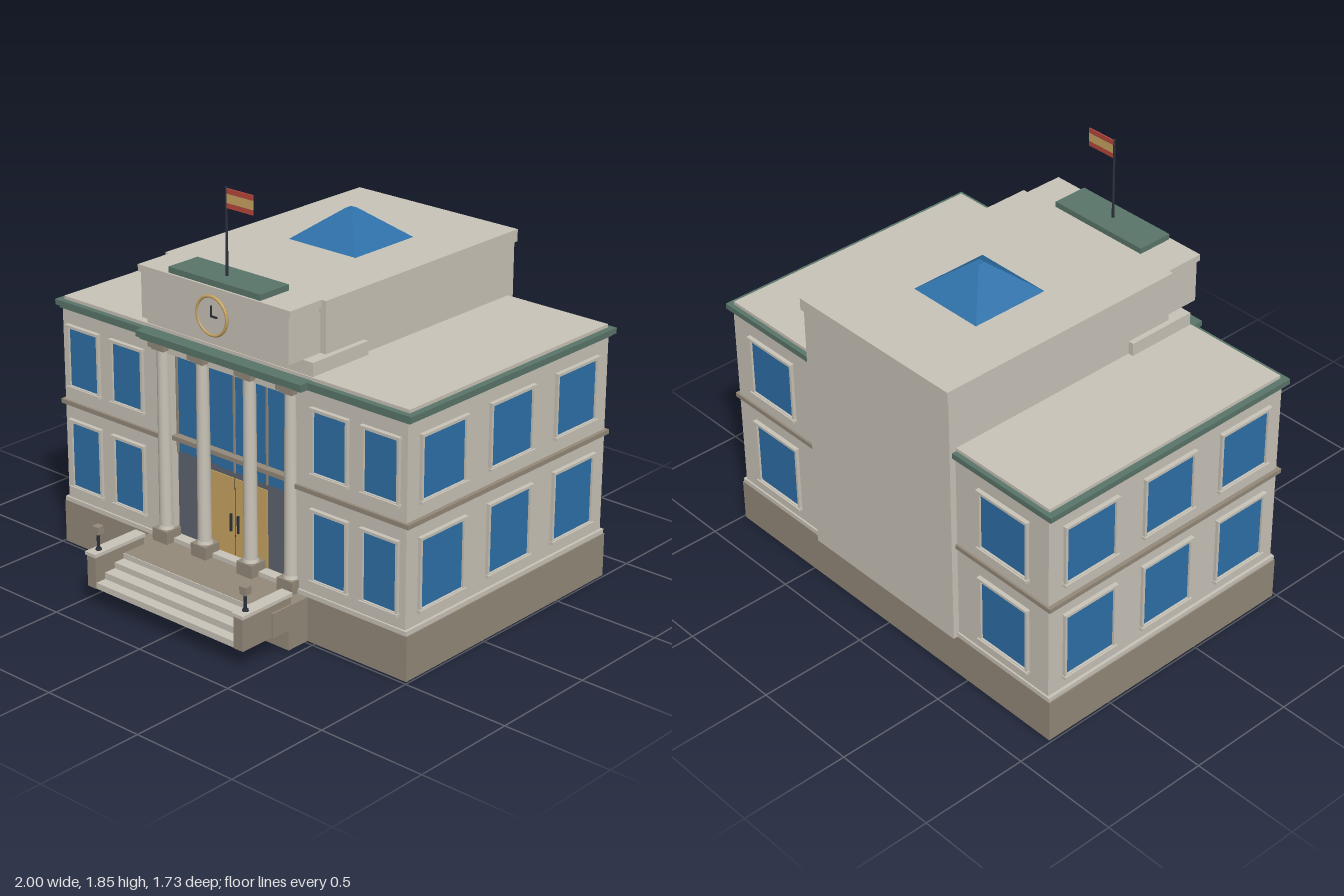
import * as THREE from 'three';

const mat = (name, color) => Object.assign(new THREE.MeshStandardMaterial({ color }), { name });
const stone = mat('pale stone', 0xc9c4b8);
const brown = mat('brown stone', 0x94897a);
const green = mat('green copper', 0x5a7569);
const glass = mat('blue glass', 0x2e70a8);
const gold = mat('golden wood', 0xcaa562);
const slate = mat('slate panel', 0x5f6470);
const dark = mat('dark metal', 0x2b303a);
const red = mat('flag red', 0xb8483c);

export function createModel() {
  const model = new THREE.Group();
  model.name = 'civicBuilding';

  const add = (parent, name, geo, material, x = 0, y = 0, z = 0) => {
    const m = new THREE.Mesh(geo, material);
    m.name = name;
    m.position.set(x, y, z);
    parent.add(m);
    return m;
  };
  // Box given by its limits on each axis
  const box = (name, material, x0, x1, y0, y1, z0, z1, parent = model) =>
    add(parent, name, new THREE.BoxGeometry(x1 - x0, y1 - y0, z1 - z0), material,
      (x0 + x1) / 2, (y0 + y1) / 2, (z0 + z1) / 2);
  // The same box on both sides of the building
  const pair = (name, material, x0, x1, ...rest) => {
    box(name, material, x0, x1, ...rest);
    box(name, material, -x1, -x0, ...rest);
  };

  // Base and wings
  box('base', brown, -0.99, 0.99, 0, 0.2, -0.835, 0.485);
  box('porchBase', brown, -0.46, 0.46, 0, 0.2, 0.485, 0.6);
  box('coreWall', stone, -0.39, 0.39, 0.2, 1.11, -0.82, 0.42);
  pair('wingWall', stone, 0.39, 0.972, 0.2, 1.11, -0.825, 0.475);
  pair('wingPlinth', stone, 0.39, 0.985, 0.2, 0.22, -0.833, 0.484);
  pair('beltCourse', brown, 0.39, 0.99, 0.665, 0.685, -0.835, 0.487);
  box('lowerCornice', green, -0.985, 0.985, 1.108, 1.125, -0.83, 0.482);
  box('upperCornice', green, -1, 1, 1.12, 1.145, -0.842, 0.492);
  box('porchLowerCornice', green, -0.455, 0.455, 1.108, 1.125, 0.4, 0.52);
  box('porchUpperCornice', green, -0.465, 0.465, 1.12, 1.146, 0.4, 0.533);
  box('roof', stone, -0.97, 0.97, 1.14, 1.16, -0.82, 0.465);

  // Raised central hall, open to the back
  box('hall', stone, -0.44, 0.44, 0.2, 1.4, -0.855, 0.355);
  box('hallCap', stone, -0.448, 0.448, 1.395, 1.45, -0.866, 0.365);
  box('roofStep', stone, -0.465, 0.465, 1.15, 1.22, 0.125, 0.46);

  // Pyramid skylight with a small flat top
  const skylight = new THREE.CylinderGeometry(0.017 * Math.SQRT2, 0.187 * Math.SQRT2, 0.135, 4).toNonIndexed();
  skylight.computeVertexNormals();
  add(model, 'skylight', skylight, glass, 0, 1.517, -0.297).rotation.y = Math.PI / 4;

  // Clock block
  box('clockBlock', stone, -0.412, 0.412, 1.22, 1.425, 0.355, 0.543);
  box('clockBlockCap', stone, -0.425, 0.425, 1.42, 1.45, 0.365, 0.548);
  box('clockBlockRoof', green, -0.255, 0.255, 1.45, 1.476, 0.37, 0.538);
  const clock = new THREE.Group();
  clock.name = 'clock';
  clock.position.set(0, 1.328, 0.543);
  model.add(clock);
  add(clock, 'clockFace', new THREE.CylinderGeometry(0.083, 0.083, 0.012, 32), stone, 0, 0, 0.004).rotation.x = Math.PI / 2;
  add(clock, 'clockRim', new THREE.TorusGeometry(0.083, 0.007, 8, 40), gold, 0, 0, 0.008);
  box('minuteHand', dark, -0.004, 0.004, -0.004, 0.045, 0.01, 0.015, clock);
  box('hourHand', dark, -0.004, 0.033, -0.004, 0.004, 0.01, 0.015, clock);

  // Flag
  add(model, 'flagPole', new THREE.CylinderGeometry(0.005, 0.006, 0.376, 10), dark, 0, 1.664, 0.46);
  box('flagLowerStripe', red, 0.005, 0.147, 1.762, 1.784, 0.457, 0.463);
  box('flagMiddleStripe', gold, 0.005, 0.147, 1.784, 1.823, 0.457, 0.463);
  box('flagUpperStripe', red, 0.005, 0.147, 1.823, 1.845, 0.457, 0.463);

  // Framed window, built facing +z on the plane z = 0
  const addWindow = (x, z, turn, w, y0, y1) => {
    const g = new THREE.Group();
    g.name = 'window';
    g.position.set(x, 0, z);
    g.rotation.y = turn;
    model.add(g);
    const h = w / 2, f = 0.012;
    const rect = (P, e) => new P([[-h - e, y0 - e], [h + e, y0 - e], [h + e, y1 + e], [-h - e, y1 + e]]
      .map(p => new THREE.Vector2(...p)));
    const frame = rect(THREE.Shape, f);
    frame.holes.push(rect(THREE.Path, 0));
    add(g, 'windowFrame', new THREE.ExtrudeGeometry(frame, { depth: 0.014, bevelEnabled: false }), stone);
    box('windowGlass', glass, -h, h, y0, y1, -0.002, 0.004, g);
    box('windowLintel', stone, -h - 0.016, h + 0.016, y1 + 0.004, y1 + 0.016, 0, 0.02, g);
    box('windowSill', stone, -h - 0.016, h + 0.016, y0 - 0.016, y0 - 0.003, 0, 0.022, g);
  };
  for (const [y0, y1] of [[0.288, 0.587], [0.762, 1.027]]) {
    for (const s of [-1, 1]) {
      for (const x of [0.575, 0.842]) addWindow(s * x, 0.475, 0, 0.17, y0, y1);
      for (const z of [0.26, -0.172, -0.605]) addWindow(s * 0.972, z, s * Math.PI / 2, 0.26, y0, y1);
      addWindow(s * 0.72, -0.825, Math.PI, 0.26, y0, y1);
    }
  }

  // Entrance front behind the columns
  box('lintelBeam', stone, -0.39, 0.39, 1.06, 1.11, 0.4, 0.478);
  pair('entranceJamb', stone, 0.335, 0.39, 0.2, 1.06, 0.4, 0.475);
  box('entranceSill', stone, -0.335, 0.335, 0.2, 0.22, 0.4, 0.475);
  box('entranceGlass', glass, -0.335, 0.335, 0.6, 1.06, 0.416, 0.424);
  pair('sidePanel', slate, 0.185, 0.335, 0.22, 0.605, 0.416, 0.424);
  box('transom', slate, -0.185, 0.185, 0.575, 0.605, 0.416, 0.424);
  box('entranceBelt', brown, -0.335, 0.335, 0.665, 0.685, 0.42, 0.46);
  for (const x of [-0.331, -0.185, 0, 0.185, 0.331])
    box('mullion', brown, x - 0.004, x + 0.004, 0.6, 1.06, 0.42, 0.432);
  pair('door', gold, 0.002, 0.185, 0.22, 0.575, 0.418, 0.428);
  box('doorGap', dark, -0.002, 0.002, 0.22, 0.575, 0.418, 0.427);
  pair('doorHandle', dark, 0.017, 0.025, 0.33, 0.41, 0.428, 0.437);

  // Columns
  for (const x of [-0.362, -0.133, 0.133, 0.362]) {
    box('columnBase', brown, x - 0.043, x + 0.043, 0.2, 0.258, 0.432, 0.518);
    add(model, 'columnFoot', new THREE.CylinderGeometry(0.032, 0.036, 0.015, 24), stone, x, 0.265, 0.475);
    add(model, 'columnShaft', new THREE.CylinderGeometry(0.027, 0.031, 0.83, 24), stone, x, 0.673, 0.475);
    box('columnCapital', brown, x - 0.045, x + 0.045, 1.086, 1.11, 0.43, 0.52);
    box('columnNeck', brown, x - 0.035, x + 0.035, 1.075, 1.088, 0.44, 0.51);
  }

  // Porch landing, steps and cheek walls with lamps
  box('landing', brown, -0.46, 0.46, 0.09, 0.2, 0.48, 0.692);
  box('topRiser', stone, -0.4, 0.4, 0.09, 0.199, 0.69, 0.697);
  [[0.175, 0.75], [0.148, 0.807], [0.118, 0.857]].forEach(([top, z]) =>
    box('step', stone, -0.4, 0.4, 0.09, top, 0.69, z));
  pair('cheekWall', brown, 0.4, 0.45, 0.09, 0.237, 0.575, 0.86);
  pair('cheekCap', stone, 0.395, 0.456, 0.235, 0.25, 0.57, 0.865);
  for (const x of [-0.425, 0.425]) {
    add(model, 'lampFoot', new THREE.CylinderGeometry(0.012, 0.014, 0.01, 12), dark, x, 0.254, 0.816);
    add(model, 'lampPost', new THREE.CylinderGeometry(0.007, 0.007, 0.08, 10), dark, x, 0.288, 0.816);
    box('lampHead', brown, x - 0.017, x + 0.017, 0.325, 0.36, 0.799, 0.833);
  }
  return model;
}
